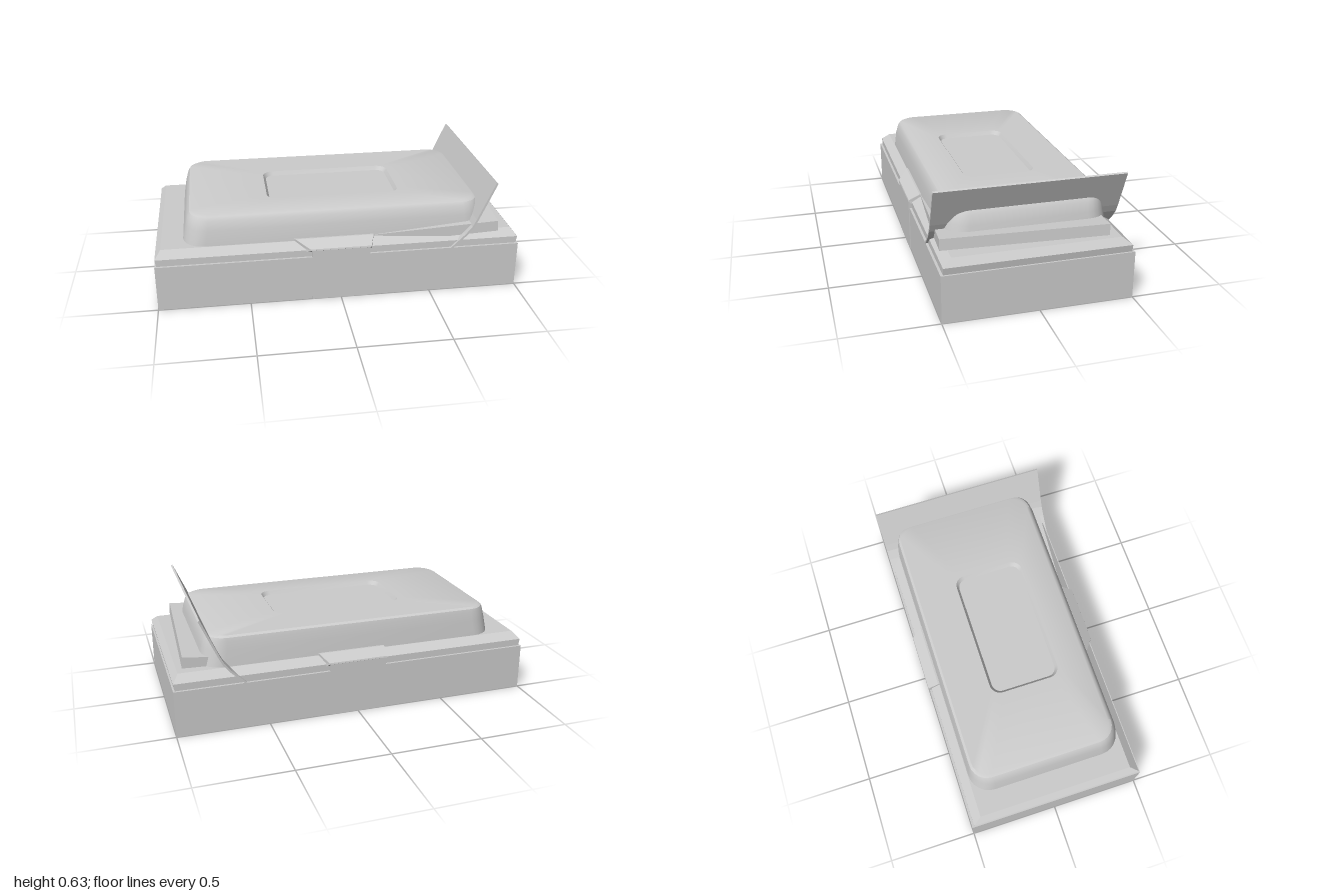
import * as THREE from 'three';
import { toCreasedNormals } from 'three/addons/utils/BufferGeometryUtils.js';

// Skins a stack of rounded rectangles, listed from the outside bottom upwards.
// Each ring: [halfX, halfZ, cornerRadius, y, centreX, centreZ]
function loft(rings, seg) {
  const pos = [], idx = [], n = 4 * (seg + 1);
  for (const [hx, hz, r, y, cx = 0, cz = 0] of rings) {
    for (let k = 0; k < 4; k++) {
      const sx = k === 0 || k === 3 ? 1 : -1, sz = k < 2 ? 1 : -1;
      for (let i = 0; i <= seg; i++) {
        const a = (k + (seg ? i / seg : 0.5)) * Math.PI / 2;
        pos.push(cx + sx * (hx - r) + r * Math.cos(a), y, cz - sz * (hz - r) - r * Math.sin(a));
      }
    }
  }
  for (let j = 0; j < rings.length - 1; j++) {
    for (let i = 0; i < n; i++) {
      const a = j * n + i, b = j * n + (i + 1) % n;
      idx.push(a, b, b + n, a, b + n, a + n);
    }
  }
  const g = new THREE.BufferGeometry();
  g.setAttribute('position', new THREE.Float32BufferAttribute(pos, 3));
  g.setIndex(idx);
  return toCreasedNormals(g, 0.5);
}

// Extrudes a [u, y] outline along z, centred
function slab(points, depth) {
  const shape = new THREE.Shape(points.map(p => new THREE.Vector2(...p)));
  return new THREE.ExtrudeGeometry(shape, { depth, bevelEnabled: false }).translate(0, 0, -depth / 2);
}

export function createModel() {
  const group = new THREE.Group();
  const grey = new THREE.MeshStandardMaterial({ color: 0xcccccc });
  grey.name = 'plain grey';
  const add = (name, geometry) => {
    const mesh = new THREE.Mesh(geometry, grey);
    mesh.name = name;
    group.add(mesh);
    return mesh;
  };

  // Box body
  add('base', new THREE.BoxGeometry(2, 0.258, 1).translate(0, 0.129, 0));

  // Lid with a chamfered rim
  add('lid', loft([
    [0.99, 0.487, 0, 0.255], [0.997, 0.487, 0, 0.296],
    [0.965, 0.44, 0, 0.333], [0, 0, 0, 0.333],
  ], 0));

  // Raised tray with a shallow recess in its top
  add('raisedTray', loft([
    [0.842, 0.437, 0.12, 0.33, -0.005, 0],
    [0.826, 0.428, 0.12, 0.42, -0.005, 0],
    [0.812, 0.418, 0.11, 0.47, -0.005, -0.004],
    [0.8, 0.41, 0.1, 0.488, -0.005, -0.008],
    [0.782, 0.395, 0.09, 0.497, -0.005, -0.01],
    [0.373, 0.2, 0.06, 0.497, 0, 0.025],
    [0.358, 0.186, 0.05, 0.475, 0, 0.025],
    [0, 0, 0, 0.475, 0, 0.025],
  ], 6));

  // Tilted board lying under the right end of the tray
  const board = add('tiltedBoard', new THREE.BoxGeometry(0.9, 0.06, 0.867).translate(-0.45, -0.03, 0));
  board.position.set(0.905, 0.395, 0.047);
  board.rotation.set(0, -0.058, 0.08);

  // Thin bent sheet standing across the right end
  add('bentSheet', slab([
    [0.616, 0.26], [0.626, 0.255], [0.7, 0.326], [0.738, 0.372], [0.76, 0.415],
    [0.854, 0.626], [0.844, 0.631], [0.75, 0.42], [0.729, 0.379], [0.692, 0.334],
  ], 1));

  // Side bands, each with a flared flap folded over the rim
  const flare = { 1: [0.255, 0.19], '-1': [0.17, 0.21] };
  for (const side of [1, -1]) {
    const where = side > 0 ? 'front' : 'back';
    add(where + 'Band', new THREE.BoxGeometry(0.32, 0.302, 0.03).translate(0, 0.151, side * 0.49));

    const flap = slab([[0.43, 0.32], [0.487, 0.285], [0.506, 0.3], [0.504, 0.308], [0.445, 0.345], [0.43, 0.345]], 2);
    flap.rotateY(-Math.PI / 2);
    if (side < 0) flap.rotateY(Math.PI);
    const p = flap.attributes.position;
    for (let i = 0; i < p.count; i++) {
      const left = p.getX(i) < 0;
      const t = THREE.MathUtils.clamp((0.506 - Math.abs(p.getZ(i))) / 0.07, 0, 1);
      const wide = flare[side][left ? 0 : 1];
      p.setX(i, (left ? -1 : 1) * THREE.MathUtils.lerp(0.165, wide, t));
    }
    flap.computeVertexNormals();
    add(where + 'Flap', flap);
  }
  return group;
}
